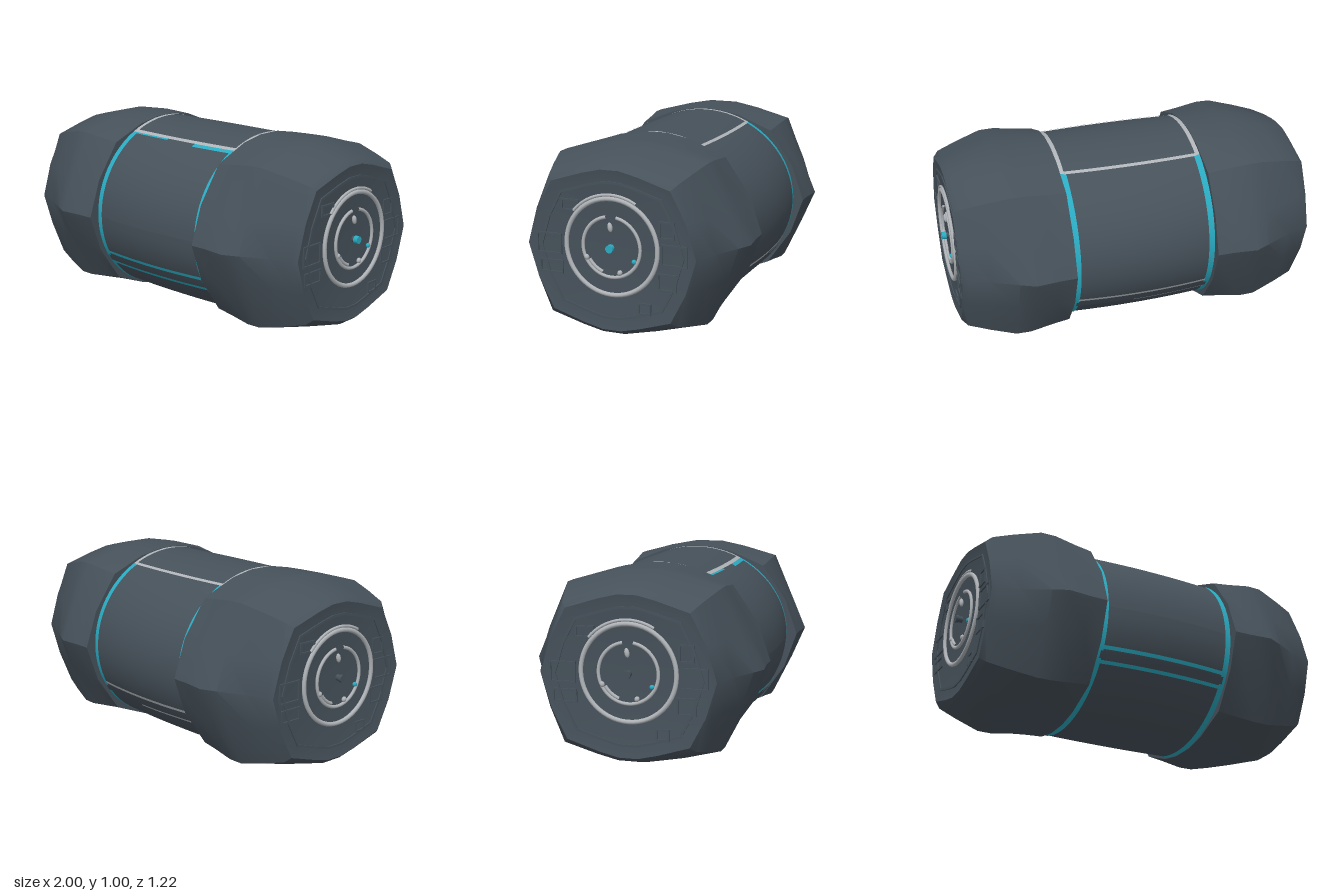
import * as THREE from 'three';
import { toCreasedNormals } from 'three/addons/utils/BufferGeometryUtils.js';

const std = (name, color) => {
  const m = new THREE.MeshStandardMaterial({ color });
  m.name = name;
  return m;
};
const RAD = Math.PI / 180;

// Mirror one quadrant of [z, y] points into a closed section, running from front over the top
function section(quad) {
  const half = [...quad, ...quad.slice(1).reverse().map(([z, y]) => [-z, y])];
  const low = quad.slice(1).map(([z, y]) => [-z, -y]);
  return [...half, [-quad[0][0], 0], ...low, ...low.slice().reverse().map(([z, y]) => [-z, y])];
}
const scaled = (pts, s) => pts.map(([z, y]) => [z * s, y * s]);

// Skin a row of sections along x; rows are { x, pts }
function loft(rows, closed = true) {
  const pos = [], idx = [], n = rows[0].pts.length;
  rows.forEach(({ x, pts }) => pts.forEach(([z, y]) => pos.push(x, y, z)));
  for (let j = 0; j < rows.length - 1; j++) {
    for (let i = 0; i < (closed ? n : n - 1); i++) {
      const k = (i + 1) % n, a = j * n + i, b = a + n, c = j * n + k, d = c + n;
      idx.push(a, b, c, b, d, c);
    }
  }
  const g = new THREE.BufferGeometry();
  g.setAttribute('position', new THREE.Float32BufferAttribute(pos, 3));
  g.setIndex(idx);
  return g;
}

// Patch of the gently barrelled elliptical middle, between two x values and two angles (degrees)
function barrelPatch(x0, x1, a0, a1, lift = 0.004) {
  const rows = [], nx = Math.max(1, Math.ceil((x1 - x0) / 0.08));
  const na = Math.max(2, Math.ceil((a1 - a0) / 5));
  for (let j = 0; j <= nx; j++) {
    const x = x0 + (x1 - x0) * j / nx, pts = [];
    const rz = 0.568 - 0.03 * (x / 0.39) ** 2 + lift;
    for (let i = 0; i <= na; i++) {
      const a = (a0 + (a1 - a0) * i / na) * RAD;
      pts.push([rz * Math.cos(a), (0.495 + lift) * Math.sin(a)]);
    }
    rows.push({ x, pts });
  }
  const g = loft(rows, false);
  g.computeVertexNormals();
  return g;
}

// Thin extruded outline in the XY plane
function outline(points, inner, depth = 0.008) {
  const v = (p) => p.map(([x, y]) => new THREE.Vector2(x, y));
  const shape = new THREE.Shape(v(points));
  shape.holes.push(new THREE.Path(v(inner)));
  return new THREE.ExtrudeGeometry(shape, { depth, bevelEnabled: false });
}
const rect = (x, y, w, h) => [[x - w / 2, y - h / 2], [x + w / 2, y - h / 2], [x + w / 2, y + h / 2], [x - w / 2, y + h / 2]];

export function createModel() {
  const hull = std('slate hull', 0x46515a);
  const trim = std('pale grey trim', 0xb0b4b8);
  const glow = std('cyan trim', 0x2aabc2);
  const model = new THREE.Group();
  model.name = 'container';
  const body = new THREE.Group();
  body.name = 'body';
  body.position.y = 0.5;
  model.add(body);
  const add = (parent, name, geo, mat, x = 0, y = 0, z = 0) => {
    const m = new THREE.Mesh(geo, mat);
    m.name = name;
    m.position.set(x, y, z);
    parent.add(m);
    return m;
  };

  // Middle barrel
  add(body, 'barrel', barrelPatch(-0.42, 0.42, 0, 360, 0), hull);

  // Edge bands: pale around the top panel, cyan around the rest
  for (const s of [-1, 1]) {
    const band = (w, a0, a1) => barrelPatch(s > 0 ? 0.392 - w : -0.392, s > 0 ? 0.392 : -0.392 + w, a0, a1);
    add(body, 'topPanelEdge', band(0.026, 61.5, 118.5), trim);
    add(body, 'cyanBand', band(0.036, 118.5, 421.5), glow);
  }
  // Lengthwise lines: x0, x1, angle0, angle1, material
  const lines = [
    [-0.37, 0.37, 61.5, 64, trim], [-0.37, 0.37, 117, 119, trim],
    [-0.36, -0.1, 60.3, 61.5, glow], [0.1, 0.36, 58.8, 61.5, glow],
    [-0.36, 0.36, -26.5, -24.2, glow], [-0.36, 0.36, -35.2, -33, glow],
    [-0.36, 0.36, 204.5, 206.5, trim], [-0.36, 0.05, 213, 214.5, trim],
  ];
  for (const [x0, x1, a0, a1, mat] of lines) add(body, 'panelLine', barrelPatch(x0, x1, a0, a1), mat);
  // Raised rails under the front and rear panels
  for (const a of [-32, 207.5]) add(body, 'rail', barrelPatch(-0.37, 0.37, a, a + 4.5, 0.009), hull);

  // Faceted end cap, built for +x and turned round for -x
  const quads = [
    [0.39, [[0.6, 0], [0.53, 0.2], [0.395, 0.395], [0.2, 0.475], [0.07, 0.5]]],
    [0.48, [[0.6, 0], [0.53, 0.19], [0.4, 0.405], [0.21, 0.477], [0.075, 0.5]]],
    [0.61, [[0.612, 0], [0.535, 0.18], [0.412, 0.422], [0.22, 0.478], [0.08, 0.5]]],
    [0.69, [[0.575, 0], [0.515, 0.18], [0.41, 0.422], [0.215, 0.474], [0.08, 0.5]]],
    [0.83, [[0.505, 0], [0.46, 0.18], [0.375, 0.39], [0.19, 0.44], [0.07, 0.465]]],
    [0.94, [[0.47, 0], [0.42, 0.18], [0.345, 0.36], [0.17, 0.41], [0.06, 0.435]]],
    [0.97, [[0.455, 0], [0.4, 0.18], [0.32, 0.335], [0.15, 0.388], [0.05, 0.412]]],
  ];
  const rows = quads.map(([x, q]) => ({ x, pts: section(q) }));
  const rim = rows[rows.length - 1].pts;
  rows.unshift({ x: 0.39, pts: scaled(rows[0].pts, 0.85) });
  rows.push({ x: 0.962, pts: scaled(rim, 0.9) }, { x: 0.962, pts: scaled(rim, 0) });
  const capGeo = toCreasedNormals(loft(rows), 0.55);

  for (const s of [1, -1]) {
    const end = new THREE.Group();
    end.name = s > 0 ? 'leftEnd' : 'rightEnd';
    end.rotation.y = s > 0 ? 0 : Math.PI;
    body.add(end);
    add(end, 'endCap', capGeo, hull);

    // End plate fittings, laid out in XY and turned to face outward
    const plate = new THREE.Group();
    plate.name = 'endPlate';
    plate.rotation.y = Math.PI / 2;
    plate.position.x = 0.962;
    end.add(plate);
    add(plate, 'rimRidge', outline(scaled(rim, 0.86), scaled(rim, 0.83), 0.006), hull);
    const frames = [[-0.34, 0.01, 0.14, 0.11], [0.34, 0.01, 0.14, 0.11], [0.3, 0.135, 0.08, 0.09],
      [-0.33, -0.11, 0.13, 0.07], [0.18, -0.28, 0.07, 0.06], [-0.22, 0.22, 0.1, 0.06], [0.3, -0.13, 0.1, 0.09]];
    for (const [x, y, w, h] of frames) {
      add(plate, 'panelFrame', outline(rect(x, y, w, h), rect(x, y, w - 0.018, h - 0.018)), hull);
    }

    // Concentric rings
    const ring = (name, r, t, start, arc) => {
      const m = add(plate, name, new THREE.TorusGeometry(r, t, 8, 56, arc * RAD), trim, 0.005, 0.022, 0.006);
      m.rotation.z = start * RAD;
      m.scale.z = 0.9;
    };
    ring('outerRing', 0.247, 0.012, 0, 360);
    ring('outerRingLip', 0.266, 0.008, 60, 80);
    ring('innerRing', 0.155, 0.009, 100, 340);
    ring('innerRingBrace', 0.138, 0.009, 210, 40);

    // Small knobs and the central pin: x, y, length, tilt, material
    const knobs = [[0, 0.125, 0.05, 10, trim], [0.128, -0.04, 0.025, 0, glow],
      [0.05, -0.105, 0.03, -25, trim], [-0.13, -0.04, 0.03, 25, trim]];
    for (const [x, y, len, tilt, mat] of knobs) {
      const k = add(plate, 'knob', new THREE.SphereGeometry(1, 12, 8), mat, x, y, 0.008);
      k.scale.set(0.013, len / 2, 0.012);
      k.rotation.z = tilt * RAD;
    }
    const pin = (name, r, z0, z1, mat) => {
      const geo = new THREE.CylinderGeometry(r, r * 1.05, z1 - z0, 14).rotateX(Math.PI / 2);
      add(plate, name, geo, mat, 0.006, 0.02, (z0 + z1) / 2);
    };
    pin('pinStem', 0.016, 0, s > 0 ? 0.018 : 0.03, hull);
    pin('pinTip', 0.02, s > 0 ? 0.014 : 0.024, 0.038, s > 0 ? glow : hull);
  }
  return model;
}
